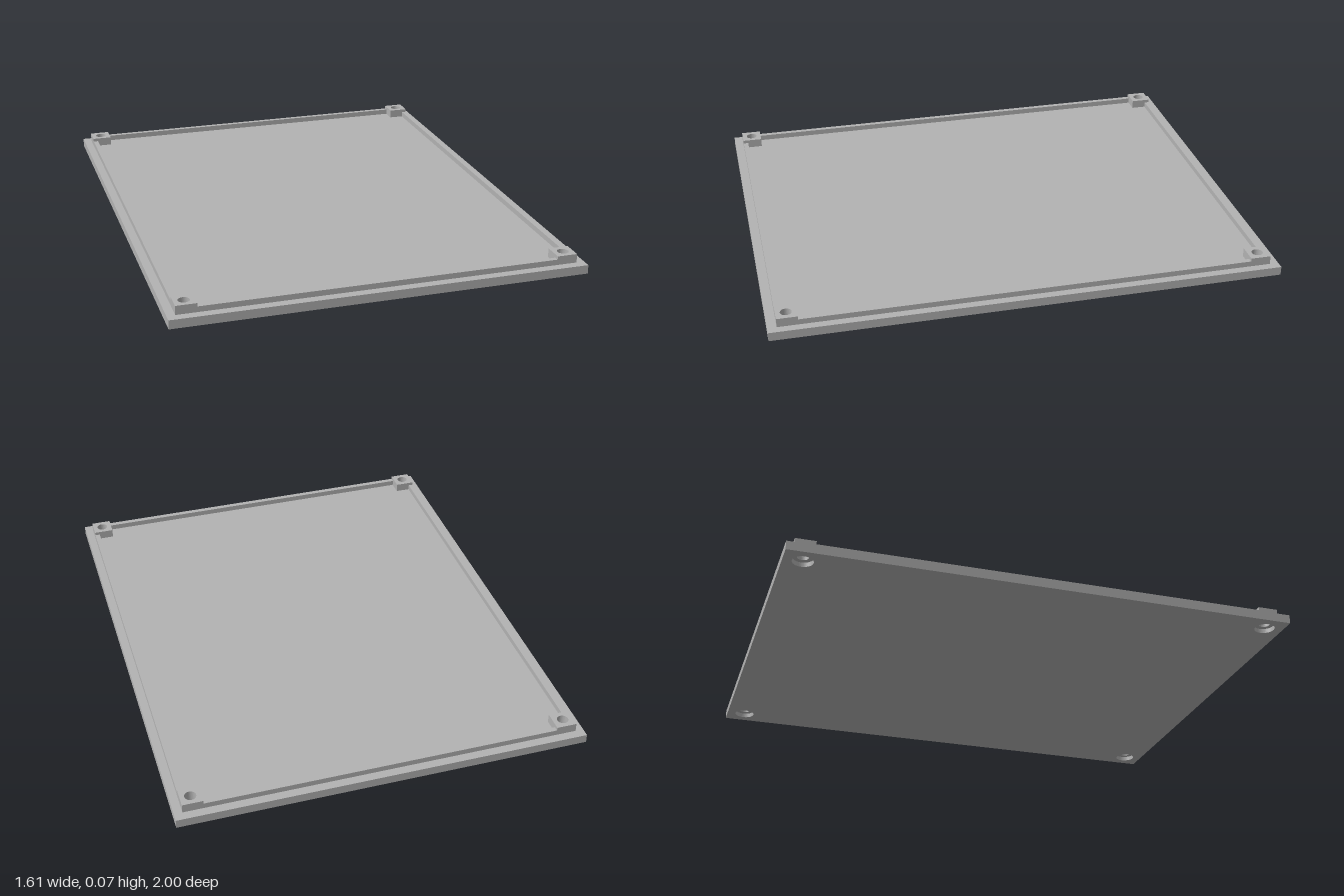
import * as THREE from 'three';

const HOLE_X = 0.735, HOLE_Z = 0.925; // screw centres

// Rectangle centred on the origin with round holes, extruded upward from y0 to y1
function plate(w, d, y0, y1, holes, radius) {
  const s = new THREE.Shape();
  s.moveTo(-w / 2, -d / 2);
  s.lineTo(w / 2, -d / 2);
  s.lineTo(w / 2, d / 2);
  s.lineTo(-w / 2, d / 2);
  s.closePath();
  for (const [x, z] of holes) {
    const h = new THREE.Path();
    h.absarc(x, z, radius, 0, Math.PI * 2, true);
    s.holes.push(h);
  }
  const g = new THREE.ExtrudeGeometry(s, { depth: y1 - y0, bevelEnabled: false, curveSegments: 24 });
  g.rotateX(-Math.PI / 2);
  g.translate(0, y0, 0);
  return g;
}

export function createModel() {
  const group = new THREE.Group();
  group.name = 'enclosureLid';
  const grey = new THREE.MeshStandardMaterial({ color: 0xb2b2b2 });
  grey.name = 'grey plastic';

  const add = (name, geometry, x = 0, y = 0, z = 0) => {
    const m = new THREE.Mesh(geometry, grey);
    m.name = name;
    m.position.set(x, y, z);
    group.add(m);
  };

  const corners = [[1, 1], [1, -1], [-1, -1], [-1, 1]];
  const centres = corners.map(([sx, sz]) => [sx * HOLE_X, sz * HOLE_Z]);

  // Base plate: wide counterbores below, narrow screw holes above
  add('basePlateLower', plate(1.614, 2, 0, 0.018, centres, 0.04));
  add('basePlateUpper', plate(1.614, 2, 0.018, 0.035, centres, 0.022));

  // Raised lip, running between the corner posts
  const y0 = 0.035, y1 = 0.057, t = 0.02, h = y1 - y0;
  for (const s of [1, -1]) {
    add('sideLip', new THREE.BoxGeometry(t, h, 2 * (HOLE_Z - 0.04)), s * 0.765, y0 + h / 2, 0);
    add('endLip', new THREE.BoxGeometry(2 * (HOLE_X - 0.04), h, t), 0, y0 + h / 2, s * 0.955);
  }

  // Square corner posts with screw holes
  const post = plate(0.08, 0.08, y0, 0.07, [[0, 0]], 0.022);
  for (const [x, z] of centres) add('cornerPost', post, x, 0, z);

  return group;
}
